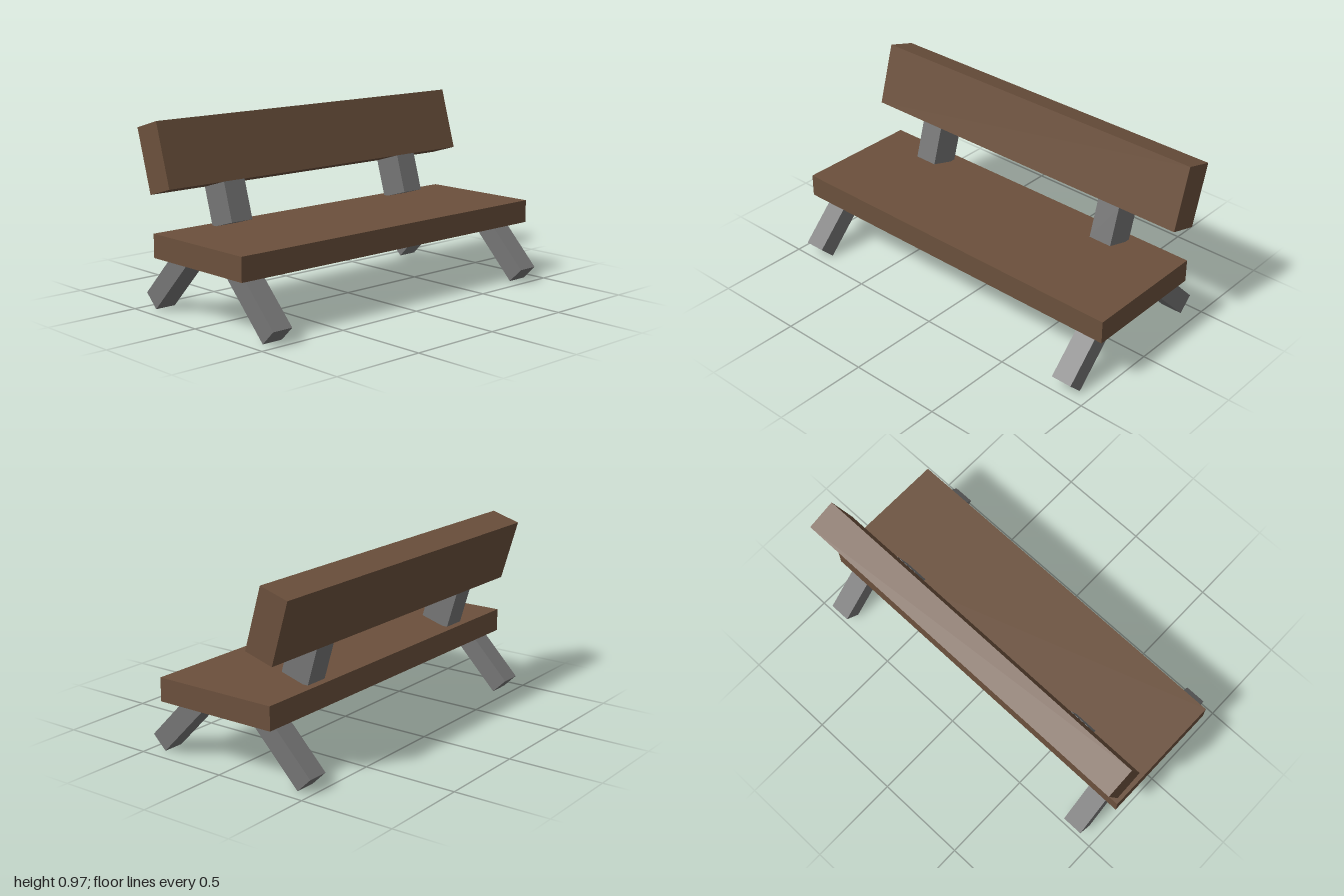
import * as THREE from 'three';

export function createModel() {
  const model = new THREE.Group();
  model.name = 'bench';

  const wood = new THREE.MeshStandardMaterial({ color: 0x6b503c });
  wood.name = 'brown wood';
  const metal = new THREE.MeshStandardMaterial({ color: 0x757575 });
  metal.name = 'grey metal';

  // Box of a given size, placed and tilted about the x axis
  const addBox = (name, material, size, position, tilt = 0) => {
    const mesh = new THREE.Mesh(new THREE.BoxGeometry(...size), material);
    mesh.name = name;
    mesh.position.set(...position);
    mesh.rotation.x = tilt;
    model.add(mesh);
  };

  const backTilt = -0.286;
  const legTilt = 0.773;

  // Seat plank and leaning backrest
  addBox('seat', wood, [2, 0.122, 0.682], [0, 0.355, 0.021]);
  addBox('backrest', wood, [2, 0.336, 0.163], [0, 0.79, -0.306], backTilt);

  for (const side of [-1, 1]) {
    const label = side > 0 ? 'left' : 'right';

    // Post between seat and backrest
    addBox(label + 'BackSupport', metal, [0.13, 0.207, 0.163], [side * 0.605, 0.53, -0.2285], backTilt);

    // Splayed legs, their tops buried in the seat
    for (const end of [-1, 1]) {
      addBox(label + (end > 0 ? 'FrontLeg' : 'RearLeg'), metal,
        [0.115, 0.397, 0.105], [side * 0.87, 0.18, end * 0.3175], -end * legTilt);
    }
  }

  return model;
}
